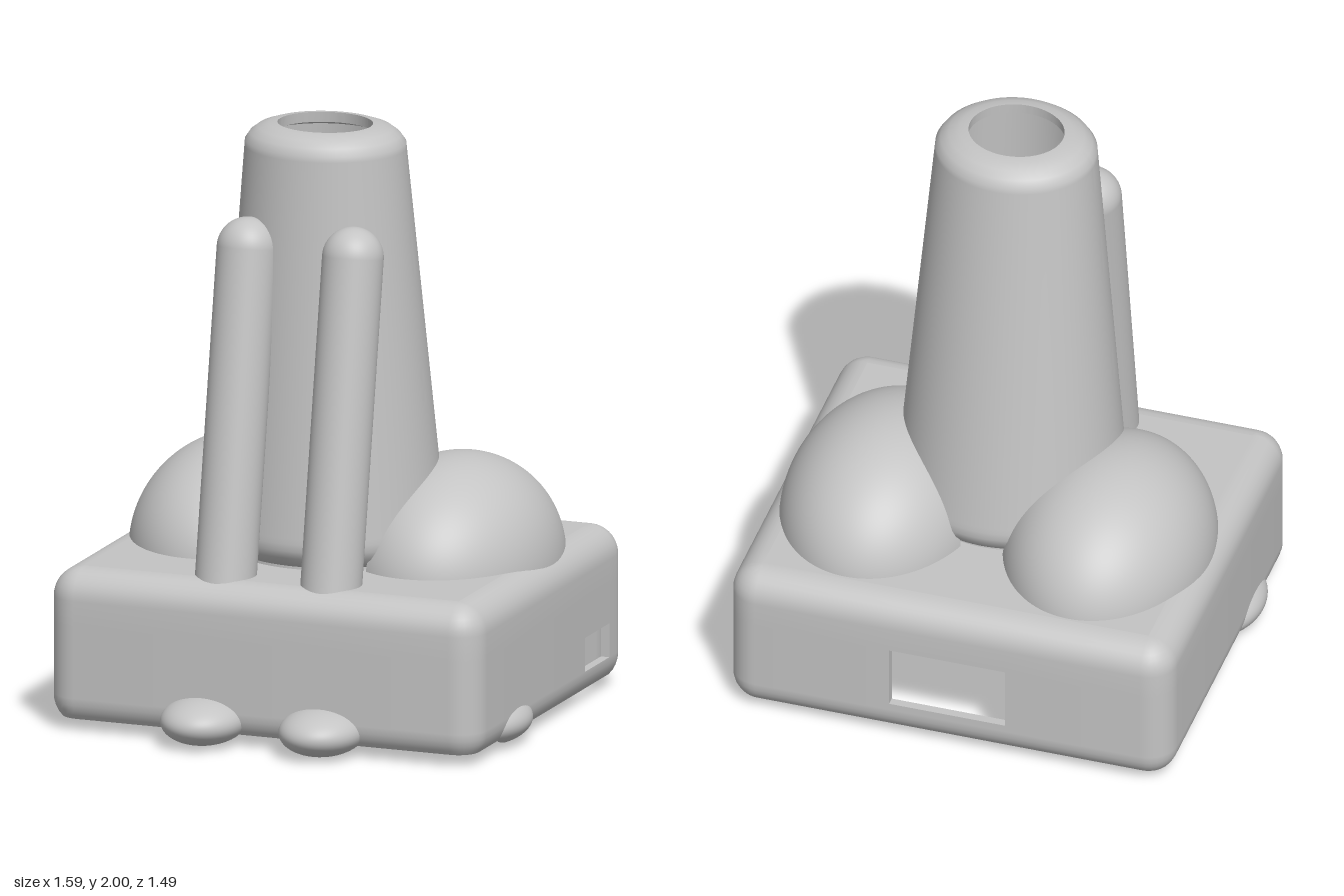
import * as THREE from 'three';
import { toCreasedNormals } from 'three/addons/utils/BufferGeometryUtils.js';

const plastic = new THREE.MeshStandardMaterial({ color: 0xc4c4c4, side: THREE.DoubleSide });
plastic.name = 'greyPlastic';

function part(parent, geometry, name) {
  const mesh = new THREE.Mesh(geometry, plastic);
  mesh.name = name;
  parent.add(mesh);
  return mesh;
}

// Skin a stack of closed rings; cells whose middle satisfies skip() are left open
function loft(rings, skip = () => false) {
  const n = rings[0].length, index = [], mid = new THREE.Vector3();
  for (let i = 0; i < rings.length - 1; i++) {
    for (let j = 0; j < n; j++) {
      const k = (j + 1) % n;
      mid.set(0, 0, 0).add(rings[i][j]).add(rings[i][k]).add(rings[i + 1][j]).add(rings[i + 1][k]);
      if (skip(mid.multiplyScalar(0.25))) continue;
      const a = i * n + j, b = i * n + k, c = a + n, d = b + n;
      index.push(a, c, b, b, c, d);
    }
  }
  const geo = new THREE.BufferGeometry().setFromPoints(rings.flat());
  geo.setIndex(index);
  return toCreasedNormals(geo, 0.6);
}

function ellipseRing(cx, y, cz, rx, rz, n = 96) {
  return Array.from({ length: n }, (_, i) => {
    const a = (i / n) * Math.PI * 2;
    return new THREE.Vector3(cx + rx * Math.cos(a), y, cz + rz * Math.sin(a));
  });
}

// ---- Base box ----
const W = 0.765, ZB = -0.745, ZF = 0.6, R = 0.1, WALL = 0.03;
const backWin = { a: -0.2, b: 0.2, y0: 0.14, y1: 0.36 };
const sideWin = { a: -0.585, b: -0.37, y0: 0.115, y1: 0.23 };

function boxRing(y, inset) {
  const r = Math.max(R - inset, 0.001), x = W - inset - r, zf = ZF - inset - r, zb = ZB + inset + r;
  const pts = [];
  const corner = (cx, cz, start) => {
    for (let i = 0; i <= 8; i++) {
      const a = start + (i / 8) * Math.PI / 2;
      pts.push(new THREE.Vector3(cx + r * Math.cos(a), y, cz + r * Math.sin(a)));
    }
  };
  corner(x, zf, 0);
  corner(-x, zf, Math.PI / 2);
  corner(-x, zb, Math.PI);
  for (const v of [backWin.a, backWin.b]) pts.push(new THREE.Vector3(v, y, ZB + inset));
  corner(x, zb, Math.PI * 1.5);
  for (const v of [sideWin.a, sideWin.b]) pts.push(new THREE.Vector3(W - inset, y, v));
  return pts;
}

const within = (w, u, y) => u > w.a && u < w.b && y > w.y0 && y < w.y1;
const inWindow = (p) => (p.z < -0.7 && within(backWin, p.x, p.y)) || (p.x > 0.72 && within(sideWin, p.z, p.y));

// Flat plate with the two oval openings under the domes
function plate(y, inset) {
  const x = W - inset, s = new THREE.Shape();
  s.moveTo(-x, -ZF + inset).lineTo(x, -ZF + inset).lineTo(x, -ZB - inset).lineTo(-x, -ZB - inset);
  for (const side of [-1, 1]) {
    s.holes.push(new THREE.Path().absellipse(side * 0.37, 0.175, 0.29, 0.41, 0, Math.PI * 2));
  }
  return new THREE.ShapeGeometry(s, 48).rotateX(-Math.PI / 2).translate(0, y, 0);
}

// Lining of a wall opening, centred on u = 0 and reaching WALL deep along +z
function lining(w) {
  const rect = (p, e) => p.moveTo(w.a - e, w.y0 - e).lineTo(w.b + e, w.y0 - e).lineTo(w.b + e, w.y1 + e).lineTo(w.a - e, w.y1 + e);
  const s = rect(new THREE.Shape(), 0.002);
  s.holes.push(rect(new THREE.Path(), 0));
  return new THREE.ExtrudeGeometry(s, { depth: WALL, bevelEnabled: false });
}

function buildBase() {
  const g = new THREE.Group();
  g.name = 'base';
  const rows = [0.115, 0.14, 0.23, 0.36];
  const outer = [];
  for (let i = 0; i <= 4; i++) {
    const a = -0.775 * (1 - i / 4);
    outer.push(boxRing(0.11 + R * Math.sin(a), R * (1 - Math.cos(a))));
  }
  rows.forEach((y) => outer.push(boxRing(y, 0)));
  for (let i = 0; i <= 8; i++) {
    const a = (i / 8) * Math.PI / 2;
    outer.push(boxRing(0.445 + R * Math.sin(a), R * (1 - Math.cos(a))));
  }
  part(g, loft(outer, inWindow), 'outerWalls');
  const inner = [boxRing(0.515, 0.05), boxRing(0.48, WALL)];
  [...rows].reverse().forEach((y) => inner.push(boxRing(y, WALL)));
  inner.push(boxRing(0.04, WALL));
  part(g, loft(inner, inWindow), 'innerWalls');
  part(g, plate(0.545, R), 'topPlate');
  part(g, plate(0.515, 0.05), 'ceiling');
  part(g, lining(backWin).translate(0, 0, ZB), 'backOpening');
  part(g, lining(sideWin).rotateY(-Math.PI / 2).translate(W, 0, 0), 'sideOpening');
  return g;
}

// ---- Tapered hollow body, leaning slightly ----
function bodySection(y, inset) {
  const t = (y - 0.6) / 1.34, r = 0.385 - 0.115 * t - inset;
  return { cz: -0.027 + 0.047 * t, rx: r, rz: r * (0.965 - 0.075 * t) };
}
const inBody = (p) => {
  const s = bodySection(p.y, 0.04);
  return Math.hypot(p.x / s.rx, (p.z - s.cz) / s.rz) < 1;
};
const inDome = (p) =>
  Math.hypot((Math.abs(p.x) - 0.378) / 0.318, (p.y - 0.505) / 0.335, (p.z + 0.175) / 0.437) < 1;

function buildBody() {
  const profile = [[0.545, 0.08], [0.56, 0.045], [0.59, 0.015], [0.615, 0.003]];
  for (let i = 0; i <= 70; i++) profile.push([0.64 + (1.3 * i) / 70, 0]);
  profile.push([1.965, 0.015], [1.985, 0.04], [1.997, 0.075], [2, 0.105], [1.965, 0.105]);
  for (let i = 0; i <= 70; i++) profile.push([1.95 - (1.405 * i) / 70, 0.06]);
  const rings = profile.map(([y, inset]) => {
    const s = bodySection(y, inset);
    return ellipseRing(0, y, s.cz, s.rx, s.rz, 120);
  });
  return loft(rings, inDome);
}

// ---- Half-ellipsoid haunch shell, opened where it meets the body ----
function dome(cx, cy, rx, ry, rz) {
  const rings = [];
  for (let i = 0; i <= 44; i++) {
    const a = (i / 44) * Math.PI / 2, c = Math.max(Math.cos(a), 0.0005);
    rings.push(ellipseRing(cx, cy + ry * Math.sin(a), -0.175, rx * c, rz * c, 120));
  }
  return loft(rings, inBody);
}

// ---- Ellipsoid cap with a flat back, pole along +y ----
function addToe(parent, name, angle, turn, scale, position) {
  const toe = new THREE.Group();
  toe.name = name;
  const place = (geo) => {
    if (turn === 'x') geo.rotateX(Math.PI / 2);
    else geo.rotateZ(turn * Math.PI / 2);
    return geo.scale(...scale).translate(...position);
  };
  part(toe, place(new THREE.SphereGeometry(1, 48, 20, 0, Math.PI * 2, 0, angle)), 'toeCap');
  const disc = new THREE.CircleGeometry(Math.sin(angle), 48).rotateX(Math.PI / 2).translate(0, Math.cos(angle), 0);
  part(toe, place(disc), 'toeBack');
  parent.add(toe);
}

export function createModel() {
  const model = new THREE.Group();
  model.name = 'seatedFigureBox';
  model.add(buildBase());
  part(model, buildBody(), 'body');

  for (const side of [-1, 1]) {
    const label = side > 0 ? 'left' : 'right';
    part(model, dome(side * 0.385, 0.5, 0.345, 0.365, 0.465), label + 'Haunch');
    part(model, dome(side * 0.37, 0.515, 0.29, 0.31, 0.41), label + 'HaunchInside');

    // Slanted front leg with a round top
    const top = new THREE.Vector3(side * 0.187, 1.61, 0.245), foot = new THREE.Vector3(side * 0.187, 0.512, 0.442);
    const axis = top.clone().sub(foot), length = axis.length();
    const leg = new THREE.Group();
    leg.name = label + 'FrontLeg';
    part(leg, new THREE.CylinderGeometry(0.102, 0.102, length, 48).translate(0, length / 2, 0), 'shaft');
    part(leg, new THREE.SphereGeometry(0.102, 48, 16, 0, Math.PI * 2, 0, Math.PI / 2).translate(0, length, 0), 'shoulder');
    leg.position.copy(foot);
    leg.quaternion.setFromUnitVectors(new THREE.Vector3(0, 1, 0), axis.normalize());
    model.add(leg);

    addToe(model, label + 'FrontPaw', Math.PI / 2, 'x', [0.142, 0.08, 0.172], [side * 0.21, 0.08, 0.57]);
    addToe(model, label + 'SidePaw', 0.982, -side, [0.135, 0.078, 0.187], [side * 0.66, 0.08, 0.215]);
  }
  return model;
}
